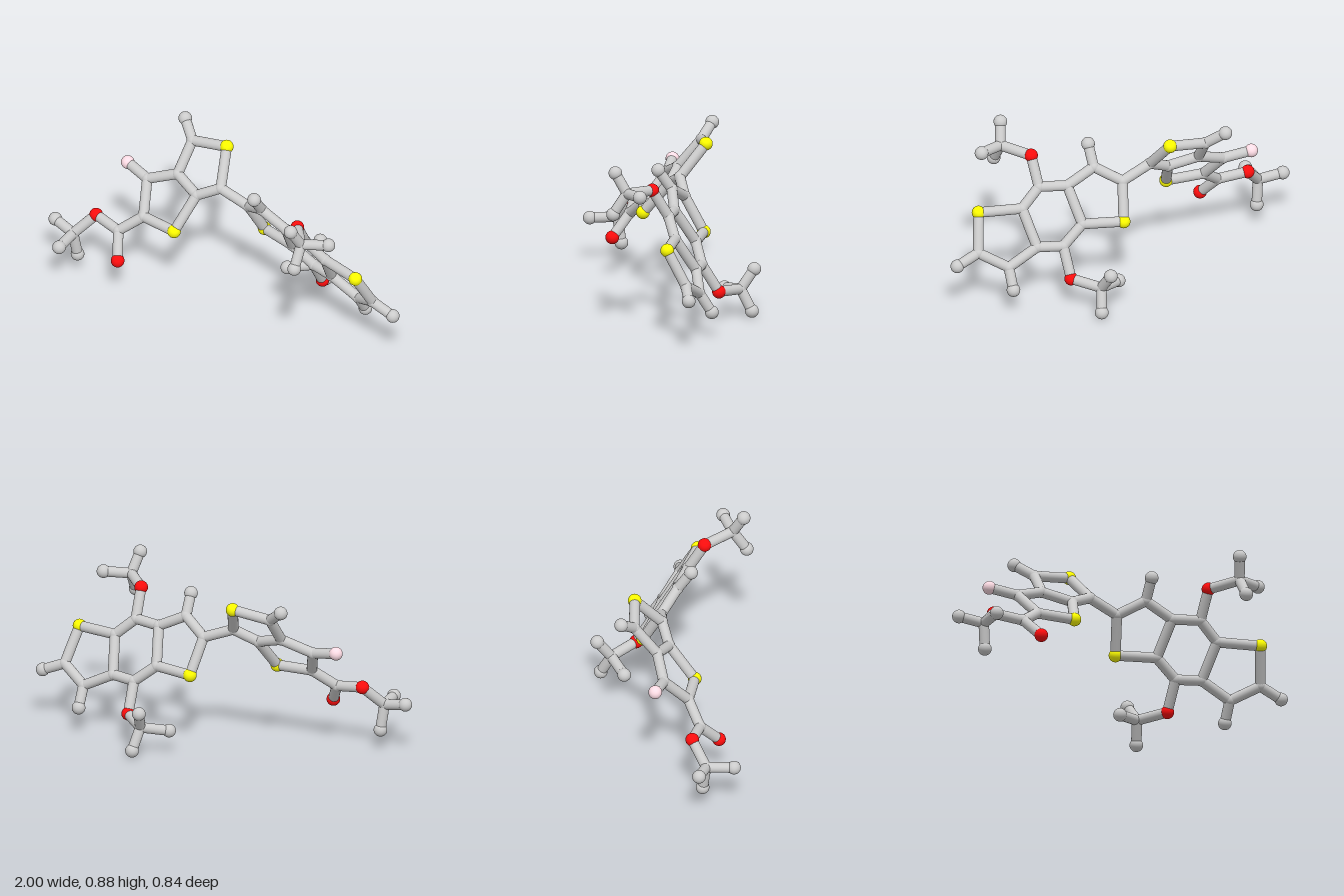
import * as THREE from 'three';

const BALL = 0.035, JOINT = 0.03, STICK = 0.027;

// The two flat ring systems lie in tilted planes: z follows from x and y.
const rightPlane = (x, y) => [x, y, 0.332 * x + 0.594 * y - 0.424];
const leftPlane = (x, y) => [x, y, 0.149 * x - 0.84 * y + 0.5];

// Atoms: kind (C joint carbon, H grey end ball, O red, S yellow, F pink) and position
const atoms = {
  // three-ring core on the right
  coreTop: ['C', rightPlane(0.473, 0.588)],
  coreUpperRight: ['C', rightPlane(0.58, 0.497)],
  coreLowerRight: ['C', rightPlane(0.553, 0.32)],
  coreBottom: ['C', rightPlane(0.425, 0.315)],
  coreLowerLeft: ['C', rightPlane(0.307, 0.406)],
  coreUpperLeft: ['C', rightPlane(0.334, 0.583)],
  outerSulfur: ['S', rightPlane(0.795, 0.495)],
  outerTip: ['C', rightPlane(0.845, 0.315)],
  outerLow: ['C', rightPlane(0.714, 0.24)],
  outerTipEnd: ['H', [0.965, 0.267, 0.046]],
  outerLowEnd: ['H', [0.72, 0.139, -0.107]],
  innerSulfur: ['S', rightPlane(0.104, 0.402)],
  innerLink: ['C', rightPlane(0.061, 0.583)],
  innerHigh: ['C', rightPlane(0.184, 0.656)],
  innerHighEnd: ['H', [0.18, 0.757, 0.096]],
  // upper side arm
  upperOxygen: ['O', [0.473, 0.73, 0.167]],
  upperMethyl: ['C', [0.575, 0.745, 0.312]],
  upperEndA: ['H', [0.545, 0.848, 0.368]],
  upperEndB: ['H', [0.709, 0.757, 0.264]],
  upperEndC: ['H', [0.575, 0.637, 0.384]],
  // lower side arm
  lowerOxygen: ['O', [0.426, 0.167, -0.184]],
  lowerMethyl: ['C', [0.318, 0.149, -0.312]],
  lowerEndA: ['H', [0.345, 0.037, -0.366]],
  lowerEndB: ['H', [0.184, 0.124, -0.247]],
  lowerEndC: ['H', [0.302, 0.248, -0.384]],
  // two-ring system on the left
  leftLink: ['C', leftPlane(-0.099, 0.642)],
  topSulfur: ['S', leftPlane(-0.142, 0.802)],
  leftHigh: ['C', leftPlane(-0.345, 0.77)],
  leftHighEnd: ['H', [-0.425, 0.84, -0.266]],
  fusedOuter: ['C', leftPlane(-0.366, 0.626)],
  fusedInner: ['C', leftPlane(-0.222, 0.578)],
  lowSulfur: ['S', leftPlane(-0.281, 0.412)],
  esterRing: ['C', leftPlane(-0.479, 0.417)],
  fluorineRing: ['C', leftPlane(-0.527, 0.56)],
  fluorine: ['F', leftPlane(-0.666, 0.588)],
  // ester arm
  carbonyl: ['C', leftPlane(-0.594, 0.326)],
  carbonylOxygen: ['O', [-0.543, 0.214, 0.235]],
  esterOxygen: ['O', leftPlane(-0.746, 0.348)],
  esterMethyl: ['C', [-0.842, 0.242, 0.167]],
  esterEndA: ['H', [-0.967, 0.267, 0.13]],
  esterEndB: ['H', [-0.826, 0.108, 0.149]],
  esterEndC: ['H', [-0.845, 0.241, 0.31]],
};

// Chains of joined atoms; each neighbouring pair gets a stick
const chains = [
  'coreTop coreUpperRight coreLowerRight coreBottom coreLowerLeft coreUpperLeft coreTop',
  'coreUpperRight outerSulfur outerTip outerLow coreLowerRight',
  'outerTip outerTipEnd', 'outerLow outerLowEnd',
  'coreLowerLeft innerSulfur innerLink innerHigh coreUpperLeft',
  'innerHigh innerHighEnd',
  'coreTop upperOxygen upperMethyl upperEndA', 'upperEndB upperMethyl upperEndC',
  'coreBottom lowerOxygen lowerMethyl lowerEndA', 'lowerEndB lowerMethyl lowerEndC',
  'innerLink leftLink topSulfur leftHigh fusedOuter fusedInner leftLink',
  'leftHigh leftHighEnd',
  'fusedInner lowSulfur esterRing fluorineRing fusedOuter',
  'fluorineRing fluorine',
  'esterRing carbonyl esterOxygen esterMethyl esterEndA', 'carbonyl carbonylOxygen',
  'esterEndB esterMethyl esterEndC',
];

export function createModel() {
  const model = new THREE.Group();
  model.name = 'molecule';
  const paint = (color) => new THREE.MeshStandardMaterial({ color });
  const grey = paint(0xcccccc);
  const materials = { C: grey, H: grey, O: paint(0xff0d0d), S: paint(0xffff00), F: paint(0xffdde6) };
  const ball = new THREE.SphereGeometry(BALL, 28, 20);
  const joint = new THREE.SphereGeometry(JOINT, 28, 20);

  // balls
  const atomGroup = new THREE.Group();
  atomGroup.name = 'atoms';
  for (const [name, [kind, position]] of Object.entries(atoms)) {
    const mesh = new THREE.Mesh(kind === 'C' ? joint : ball, materials[kind]);
    mesh.name = name;
    mesh.position.set(...position);
    atomGroup.add(mesh);
  }

  // sticks
  const bondGroup = new THREE.Group();
  bondGroup.name = 'bonds';
  const up = new THREE.Vector3(0, 1, 0);
  for (const chain of chains) {
    const names = chain.split(' ');
    for (let i = 1; i < names.length; i++) {
      const a = new THREE.Vector3(...atoms[names[i - 1]][1]);
      const b = new THREE.Vector3(...atoms[names[i]][1]);
      const along = b.clone().sub(a);
      const stick = new THREE.Mesh(
        new THREE.CylinderGeometry(STICK, STICK, along.length(), 20, 1, true), grey);
      stick.name = 'bond';
      stick.position.copy(a).add(b).multiplyScalar(0.5);
      stick.quaternion.setFromUnitVectors(up, along.normalize());
      bondGroup.add(stick);
    }
  }

  model.add(atomGroup, bondGroup);
  return model;
}
